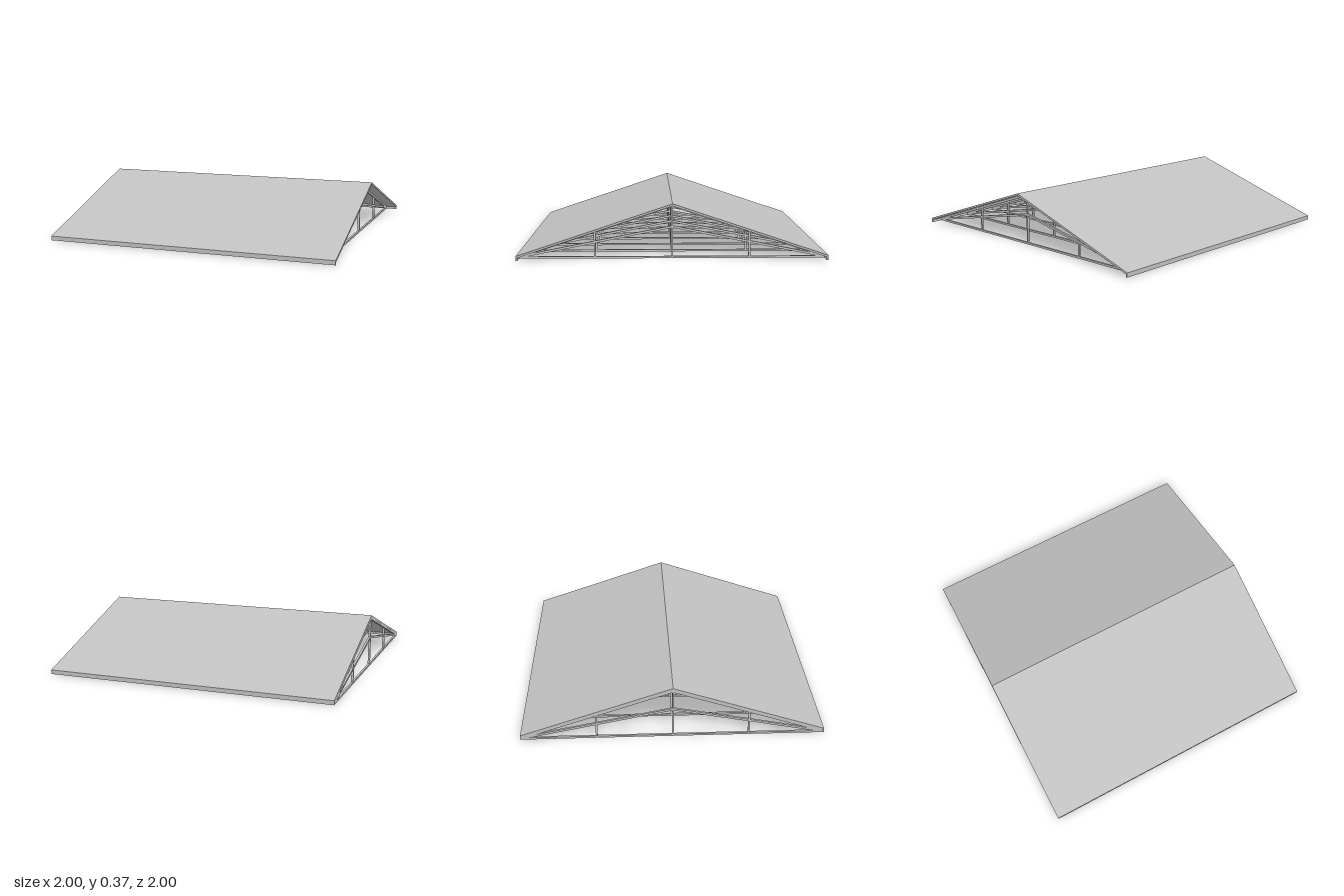
import * as THREE from 'three';

const RISE = 0.335;     // ridge height above the eave
const ROOF_T = 0.014;   // vertical thickness of the roof sheet
const TRUSS_W = 0.015;  // thickness of truss timbers along x

// Extrude a polygon of [z, y] points along x, starting at x0
function prism(name, points, x0, length, material) {
  const shape = new THREE.Shape(points.map(([z, y]) => new THREE.Vector2(-z, y)));
  const geo = new THREE.ExtrudeGeometry(shape, { depth: length, bevelEnabled: false });
  geo.rotateY(Math.PI / 2);
  geo.translate(x0, 0, 0);
  const mesh = new THREE.Mesh(geo, material);
  mesh.name = name;
  return mesh;
}

// Inverted-V band: eave top and ridge top heights, vertical thickness, half span
const chevron = (eave, ridge, t, half = 1) => [
  [-half, eave - t], [0, ridge - t], [half, eave - t],
  [half, eave], [0, ridge], [-half, eave],
];

const rect = (z, y0, y1, w) => [
  [z - w / 2, y0], [z + w / 2, y0], [z + w / 2, y1], [z - w / 2, y1],
];

function createTruss(material) {
  const truss = new THREE.Group();
  truss.name = 'truss';
  const add = (name, points) => truss.add(prism(name, points, 0, TRUSS_W, material));

  // outer frame
  add('bottomChord', rect(0, 0, 0.013, 1.99));
  add('rafters', chevron(0.0195, 0.351, 0.016, 0.995));
  // shallow inner chord
  add('innerChord', chevron(0.018, 0.214, 0.015, 0.99));
  // king post and side posts
  add('kingPost', rect(0, 0.013, 0.337, 0.011));
  for (const side of [-1, 1]) add('sidePost', rect(side * 0.5, 0.013, 0.172, 0.012));
  return truss;
}

export function createModel() {
  const model = new THREE.Group();
  model.name = 'gableRoof';
  const grey = new THREE.MeshStandardMaterial({ color: 0xc0c0c0 });
  grey.name = 'light grey';

  // roof sheet over the full length
  model.add(prism('roofSheet', chevron(0.03, 0.03 + RISE, ROOF_T), -1, 2, grey));

  // boards along both eaves
  for (const side of [-1, 1]) {
    model.add(prism('eaveBoard', rect(side * 0.994, 0.001, 0.018, 0.012), -1, 2, grey));
  }

  // nine trusses, flush at the right end and set in at the left
  for (let i = 0; i < 9; i++) {
    const truss = createTruss(grey);
    truss.position.x = -0.999 + i * 0.238;
    model.add(truss);
  }
  return model;
}
